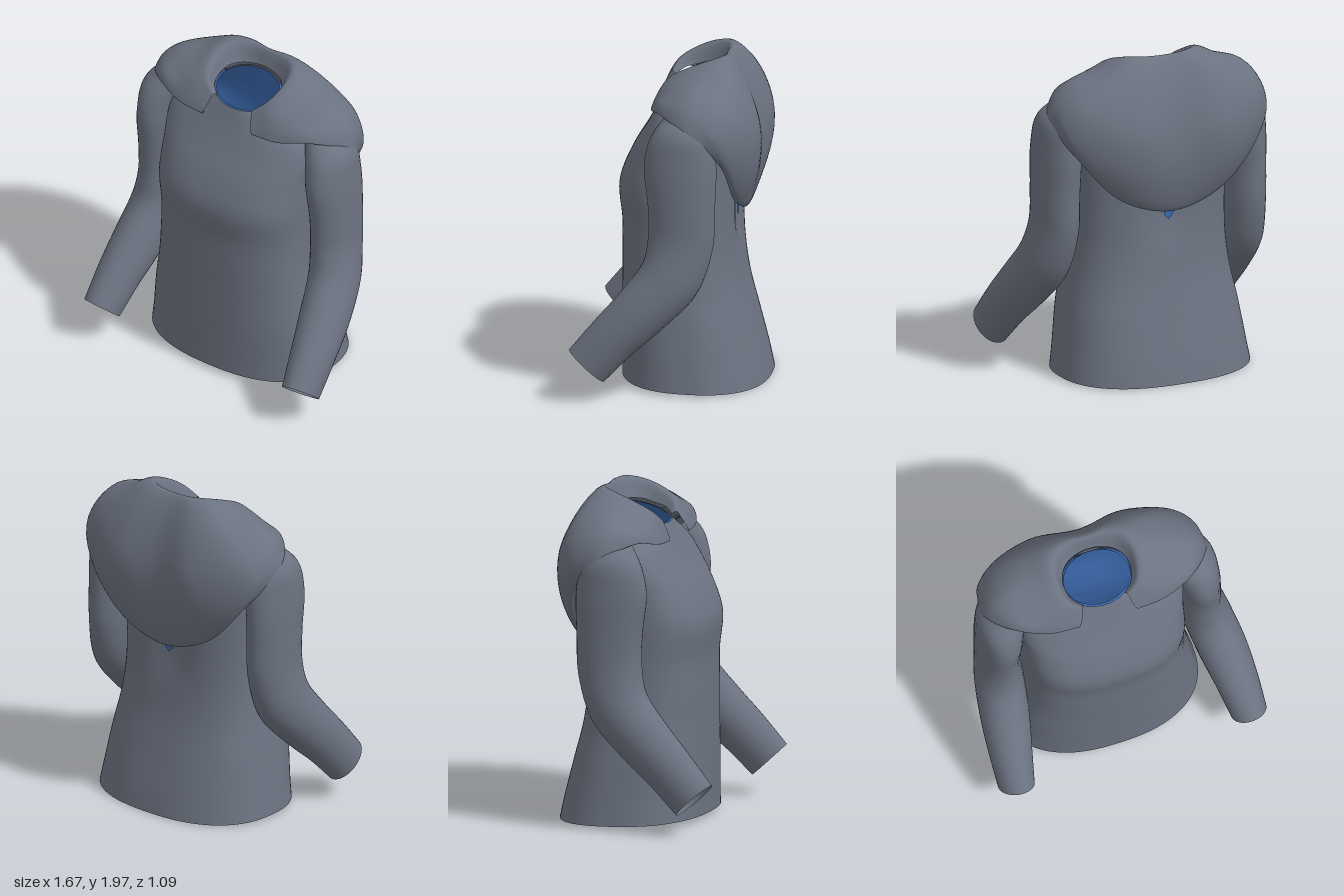
import * as THREE from 'three';

const CX = -0.045; // torso centre line
const V = (x, y, z) => new THREE.Vector3(x, y, z);
const grey = new THREE.MeshStandardMaterial({ color: 0x6b7280, side: THREE.DoubleSide });
grey.name = 'slate cloth';
const blue = new THREE.MeshStandardMaterial({ color: 0x3b68ad, side: THREE.DoubleSide });
blue.name = 'blue lining';

// Smooth skin through a stack of equal-length point rings
function loft(rings, steps, closed) {
  const n = rings[0].length, pos = [], idx = [];
  const curves = rings[0].map((_, i) => new THREE.CatmullRomCurve3(rings.map(r => r[i])));
  for (let j = 0; j <= steps; j++) for (const c of curves) pos.push(...c.getPoint(j / steps).toArray());
  for (let j = 0; j < steps; j++) {
    for (let i = 0; i < (closed ? n : n - 1); i++) {
      const a = j * n + i, b = j * n + (i + 1) % n;
      idx.push(a, a + n, b, b, a + n, b + n);
    }
  }
  const g = new THREE.BufferGeometry();
  g.setAttribute('position', new THREE.Float32BufferAttribute(pos, 3));
  g.setIndex(idx);
  g.computeVertexNormals();
  return g;
}

// Torso sections: height, half width, front z, back z, rise towards the back, squareness
const TORSO = [
  [0.045, 0.605, 0.335, -0.54, -0.03, 2.4],
  [0.16, 0.587, 0.335, -0.513, 0, 2.4],
  [0.4, 0.55, 0.335, -0.45, 0, 2.5],
  [0.6, 0.515, 0.335, -0.40, 0, 2.5],
  [0.8, 0.49, 0.335, -0.37, 0, 2.6],
  [1.0, 0.485, 0.335, -0.365, 0, 2.6],
  [1.22, 0.49, 0.35, -0.365, 0, 2.7],
  [1.4, 0.495, 0.285, -0.36, 0, 2.7],
  [1.55, 0.51, 0.195, -0.35, 0, 2.7],
  [1.64, 0.49, 0.145, -0.33, 0, 2.5],
  [1.71, 0.41, 0.115, -0.30, 0.02, 2.2],
  [1.83, 0.215, 0.08, -0.245, 0.1, 2],
];

function torsoRings(rows, inset) {
  return rows.map(([y, w, zf, zb, rise, e]) => {
    const ring = [], zc = (zf + zb) / 2, d = (zf - zb) / 2 - inset;
    for (let i = 0; i < 72; i++) {
      const a = i / 72 * Math.PI * 2, c = Math.cos(a), s = Math.sin(a);
      const x = Math.sign(c) * Math.abs(c) ** (2 / e) * (w - inset);
      let z = zc + Math.sign(s) * Math.abs(s) ** (2 / e) * d;
      // shallow hollow along the spine
      if (s < 0) z += 0.05 * Math.exp(-((x / 0.15) ** 2) - ((y - 1.1) / 0.2) ** 2);
      ring.push(V(CX + x, y - rise / 2 * s, z));
    }
    return ring;
  });
}

// Sleeve sections: y, z, half depth, half width, right |x|, left x
const SLEEVE = [
  [1.71, -0.09, 0.11, 0.09, 0.56, 0.47],
  [1.6, -0.09, 0.185, 0.135, 0.635, 0.545],
  [1.45, -0.085, 0.215, 0.132, 0.655, 0.57],
  [1.2, -0.095, 0.2, 0.13, 0.66, 0.585],
  [0.98, -0.09, 0.195, 0.133, 0.66, 0.59],
  [0.77, -0.03, 0.185, 0.145, 0.67, 0.62],
  [0.57, 0.14, 0.165, 0.145, 0.69, 0.665],
  [0.41, 0.3, 0.15, 0.128, 0.71, 0.697],
  [0.245, 0.45, 0.14, 0.108, 0.725, 0.72],
];

function sleeveRings(side) {
  const pts = SLEEVE.map(r => V(side > 0 ? r[5] : -r[4], r[0], r[1]));
  return pts.map((p, k) => {
    const t = pts[Math.min(k + 1, pts.length - 1)].clone().sub(pts[Math.max(k - 1, 0)]).normalize();
    const across = V(1, 0, 0).addScaledVector(t, -t.x).normalize();
    const deep = t.clone().cross(across);
    const ring = [];
    for (let i = 0; i < 36; i++) {
      const a = i / 36 * Math.PI * 2;
      ring.push(p.clone().addScaledVector(across, Math.cos(a) * SLEEVE[k][3])
        .addScaledVector(deep, Math.sin(a) * SLEEVE[k][2]));
    }
    return ring;
  });
}

// Folded hood, one half: rows run from the collar to the hem, points from front to mid back
const HOOD = [
  [[0.13, 1.80, 0.05], [0.185, 1.83, 0], [0.205, 1.85, -0.08], [0.195, 1.87, -0.14], [0.15, 1.88, -0.2], [0.08, 1.885, -0.235], [0, 1.89, -0.245]],
  [[0.14, 1.815, 0.075], [0.215, 1.88, 0.03], [0.25, 1.94, -0.07], [0.245, 1.98, -0.17], [0.2, 2, -0.25], [0.11, 1.997, -0.285], [0, 1.992, -0.285]],
  [[0.15, 1.78, 0.1], [0.28, 1.85, 0.06], [0.36, 1.895, -0.04], [0.4, 1.92, -0.17], [0.37, 1.91, -0.32], [0.23, 1.89, -0.39], [0, 1.88, -0.375]],
  [[0.16, 1.745, 0.12], [0.33, 1.79, 0.095], [0.47, 1.835, 0], [0.57, 1.855, -0.15], [0.58, 1.74, -0.36], [0.3, 1.6, -0.505], [0, 1.57, -0.475]],
  [[0.17, 1.72, 0.132], [0.35, 1.745, 0.115], [0.54, 1.785, 0.035], [0.66, 1.765, -0.14], [0.66, 1.58, -0.33], [0.36, 1.36, -0.48], [0, 1.28, -0.475]],
  [[0.18, 1.695, 0.138], [0.36, 1.705, 0.125], [0.56, 1.735, 0.045], [0.7, 1.64, -0.14], [0.6, 1.44, -0.33], [0.35, 1.17, -0.385], [0, 1.06, -0.4]],
];

function hoodRings() {
  const tuck = HOOD[5].map(([x, y, z]) => [x * 0.96, y + 0.005, -0.09 + (z + 0.09) * 0.92]);
  return [...HOOD, tuck].map(row => {
    const mirrored = row.slice(0, -1).reverse().map(([x, y, z]) => [-x, y, z]);
    const curve = new THREE.CatmullRomCurve3([...row, ...mirrored].map(([x, y, z]) => V(CX + x, y, z)));
    return curve.getPoints(96);
  });
}

export function createModel() {
  const model = new THREE.Group();
  model.name = 'hoodedTop';
  const add = (name, geometry, material) => {
    const mesh = new THREE.Mesh(geometry, material);
    mesh.name = name;
    model.add(mesh);
    return mesh;
  };

  add('torso', loft(torsoRings(TORSO, 0), 66, true), grey);
  // the lining stops short of the hem, leaving a plain band
  add('lining', loft(torsoRings(TORSO.slice(1), 0.014), 60, true), blue);
  add('leftSleeve', loft(sleeveRings(1), 48, true), grey);
  add('rightSleeve', loft(sleeveRings(-1), 48, true), grey);
  add('hood', loft(hoodRings(), 48, false), grey);

  // small lining tab below the hood tip
  const tab = new THREE.Shape([[-0.035, 0.1], [-0.03, 0.03], [0, 0], [0.03, 0.03], [0.035, 0.1]]
    .map(([x, y]) => new THREE.Vector2(x, y)));
  add('liningTab', new THREE.ShapeGeometry(tab), blue).position.set(CX, 0.99, -0.338);

  return model;
}
